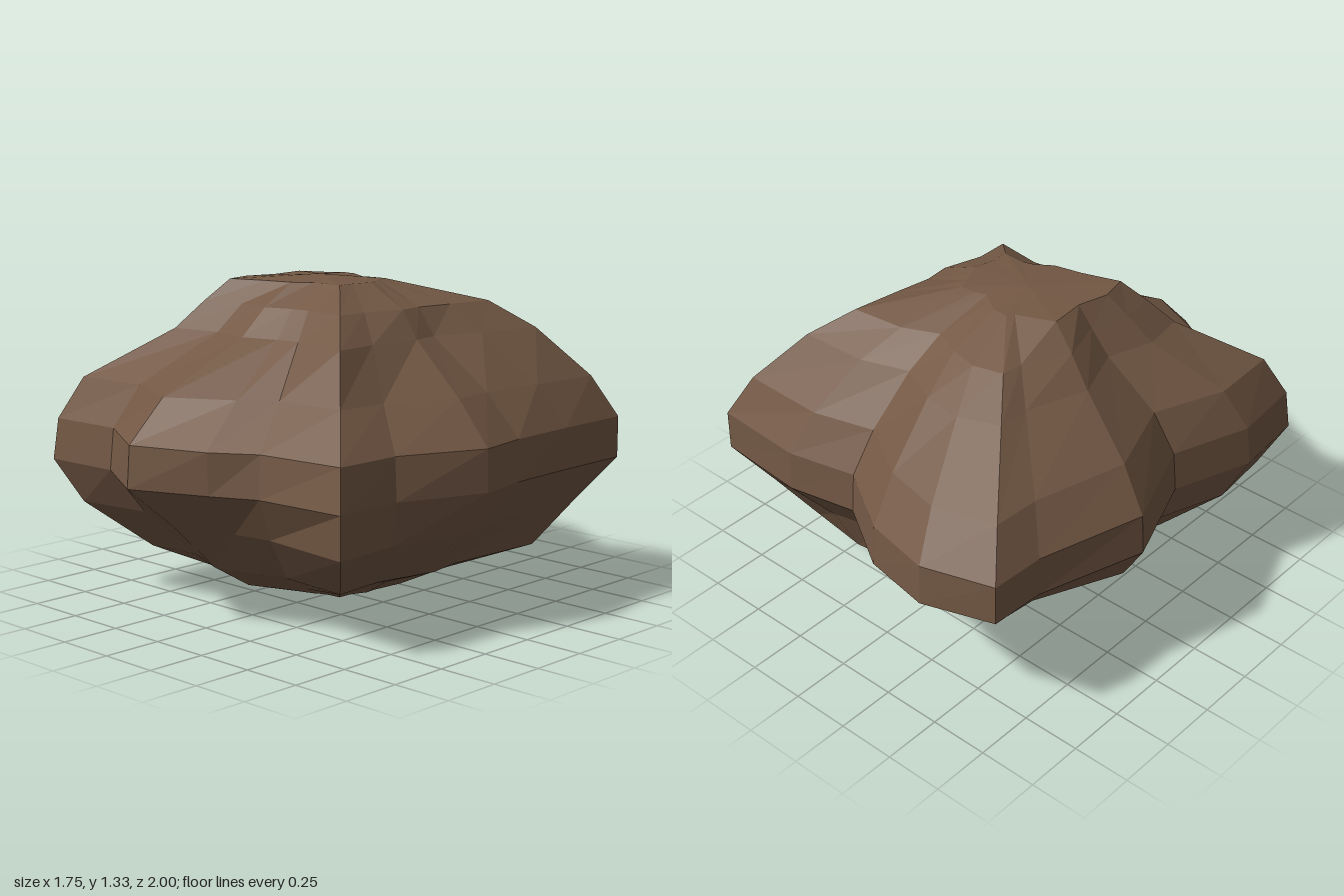
import * as THREE from 'three';

// Widest outline of the boulder as [x, z], running from left (+x) round by the front
const outline = [
  [0.87, 0.09], [0.73, 0.45], [0.73, 0.75], [0.34, 0.79], [0.16, 0.9],
  [-0.16, 1], [-0.48, 0.82], [-0.82, 0.84], [-0.85, 0.52], [-0.73, 0.18],
  [-0.88, -0.22], [-0.74, -0.67], [-0.73, -0.9], [-0.44, -1], [-0.15, -0.95],
  [0.14, -0.77], [0.43, -0.83], [0.82, -0.8], [0.82, -0.45], [0.83, -0.14],
];

// Cross-sections from bottom to top: height, then scale every 45 degrees
// (left, front left, front, front right, right, back right, back, back left)
const rings = [
  [0.03, 0.2, 0.2, 0.2, 0.2, 0.22, 0.2, 0.32, 0.22],
  [0.1, 0.33, 0.38, 0.46, 0.42, 0.4, 0.42, 0.56, 0.38],
  [0.2, 0.65, 0.74, 0.6, 0.66, 0.62, 0.57, 0.64, 0.7],
  [0.39, 0.86, 0.97, 0.77, 0.9, 0.9, 0.82, 0.76, 0.85],
  [0.57, 1, 1, 1, 1, 1, 1, 1, 1],
  [0.74, 1, 0.96, 0.99, 0.98, 0.98, 1, 0.98, 1],
  [0.91, 0.83, 0.76, 0.83, 0.89, 0.84, 0.87, 0.84, 0.9],
  [1.11, 0.56, 0.62, 0.46, 0.57, 0.59, 0.57, 0.6, 0.7],
  [1.22, 0.45, 0.46, 0.34, 0.47, 0.49, 0.42, 0.4, 0.53],
  [1.31, 0.22, 0.24, 0.2, 0.38, 0.42, 0.2, 0.13, 0.16],
];

// Local gullies (negative) and bulges (positive)
const knocks = [
  { at: new THREE.Vector3(0.12, 0.98, 0.6), radius: 0.22, amount: -0.1 },
  { at: new THREE.Vector3(0.16, 0.5, 0.8), radius: 0.15, amount: -0.07 },
  { at: new THREE.Vector3(0.5, 1.05, -0.08), radius: 0.2, amount: -0.1 },
  { at: new THREE.Vector3(0.1, 0.15, -0.5), radius: 0.22, amount: 0.14 },
];

// One corner of a cross-section, blending the scales by direction
function corner([x, z], [y, ...scales]) {
  const turn = ((Math.atan2(z, x) / (Math.PI / 4)) + 8) % 8;
  const k = Math.floor(turn);
  const scale = THREE.MathUtils.lerp(scales[k], scales[(k + 1) % 8], turn - k);
  const point = new THREE.Vector3(x * scale, y, z * scale);
  let push = 1;
  for (const { at, radius, amount } of knocks) {
    push += amount * Math.exp(-point.distanceToSquared(at) / (radius * radius));
  }
  return [point.x * push, y, point.z * push];
}

function boulderGeometry() {
  const n = outline.length;
  const positions = rings.flatMap((ring) => outline.flatMap((p) => corner(p, ring)));
  const index = [];
  // Skin between neighbouring cross-sections
  for (let r = 0; r < rings.length - 1; r++) {
    for (let i = 0; i < n; i++) {
      const j = (i + 1) % n;
      const a = r * n + i, b = r * n + j, c = a + n, d = b + n;
      index.push(a, c, b, b, c, d);
    }
  }
  // Close the underside and the flat crown with fans
  const bottom = positions.length / 3, top = bottom + 1;
  positions.push(0.06, 0, -0.12, -0.08, 1.325, 0.03);
  const last = (rings.length - 1) * n;
  for (let i = 0; i < n; i++) {
    const j = (i + 1) % n;
    index.push(bottom, i, j, top, last + j, last + i);
  }
  const indexed = new THREE.BufferGeometry();
  indexed.setAttribute('position', new THREE.Float32BufferAttribute(positions, 3));
  indexed.setIndex(index);
  const geometry = indexed.toNonIndexed();
  geometry.computeVertexNormals();
  return geometry;
}

export function createModel() {
  const group = new THREE.Group();
  group.name = 'rock';
  const stone = new THREE.MeshStandardMaterial({ color: 0x735844, flatShading: true });
  stone.name = 'brown stone';
  const boulder = new THREE.Mesh(boulderGeometry(), stone);
  boulder.name = 'boulder';
  group.add(boulder);
  return group;
}
